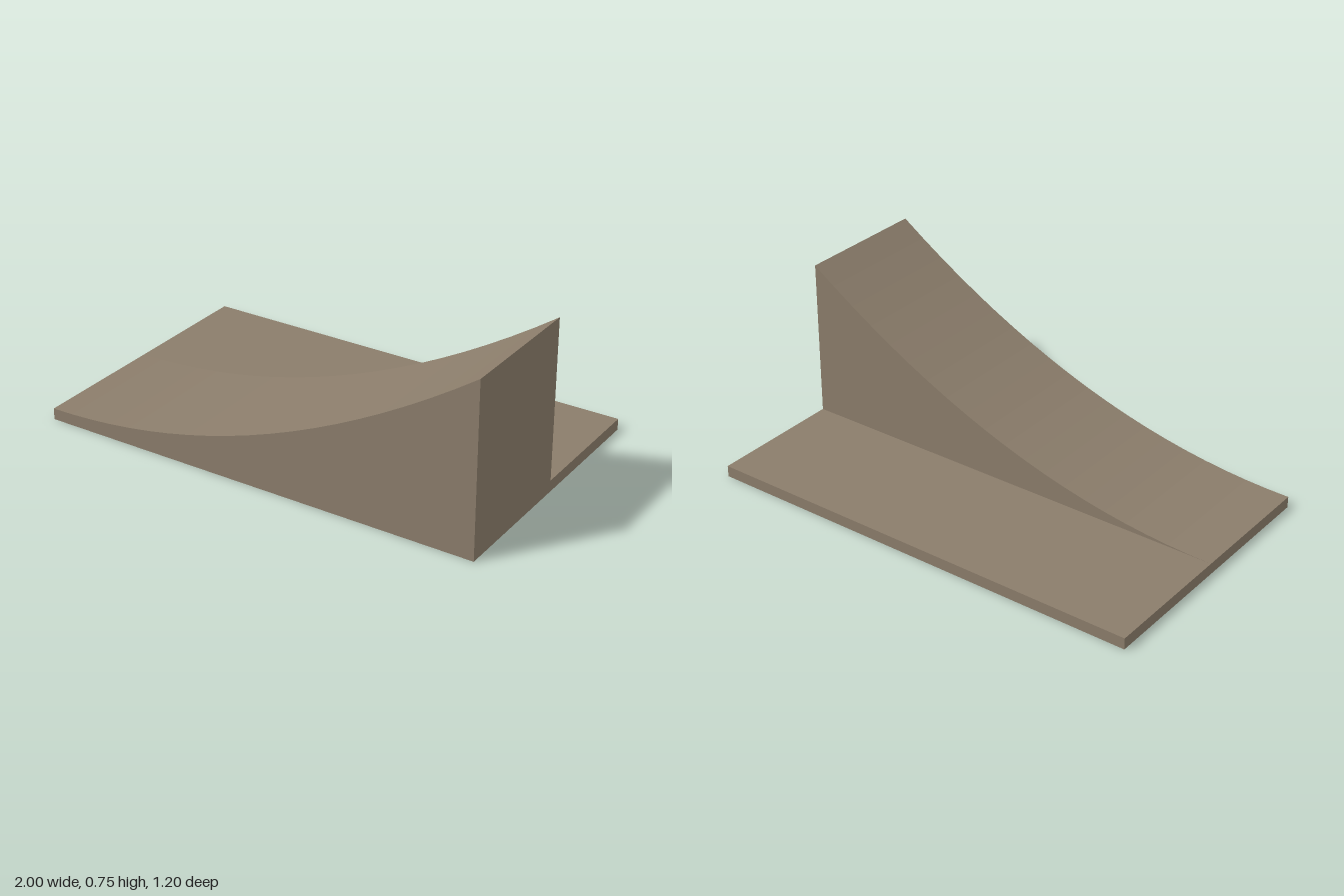
import * as THREE from 'three';

const WIDTH = 2, DEPTH = 0.6, BASE = 0.05, RISE = 0.7, STEPS = 20;

export function createModel() {
  const model = new THREE.Group();
  model.name = 'curvedRamp';
  const stone = new THREE.MeshStandardMaterial({ color: 0x8b7d6b });
  stone.name = 'warmStone';

  // Front half: ramp whose top follows a parabola, rising towards +x
  const profile = new THREE.Shape();
  profile.moveTo(-WIDTH / 2, 0);
  profile.lineTo(WIDTH / 2, 0);
  for (let i = STEPS; i >= 0; i--) {
    const t = i / STEPS;
    profile.lineTo(-WIDTH / 2 + WIDTH * t, BASE + RISE * t * t);
  }
  profile.closePath();
  const ramp = new THREE.Mesh(
    new THREE.ExtrudeGeometry(profile, { depth: DEPTH, bevelEnabled: false }), stone);
  ramp.name = 'ramp';
  model.add(ramp);

  // Back half: flat slab level with the foot of the ramp
  const slab = new THREE.Mesh(new THREE.BoxGeometry(WIDTH, BASE, DEPTH), stone);
  slab.name = 'baseSlab';
  slab.position.set(0, BASE / 2, -DEPTH / 2);
  model.add(slab);

  return model;
}
